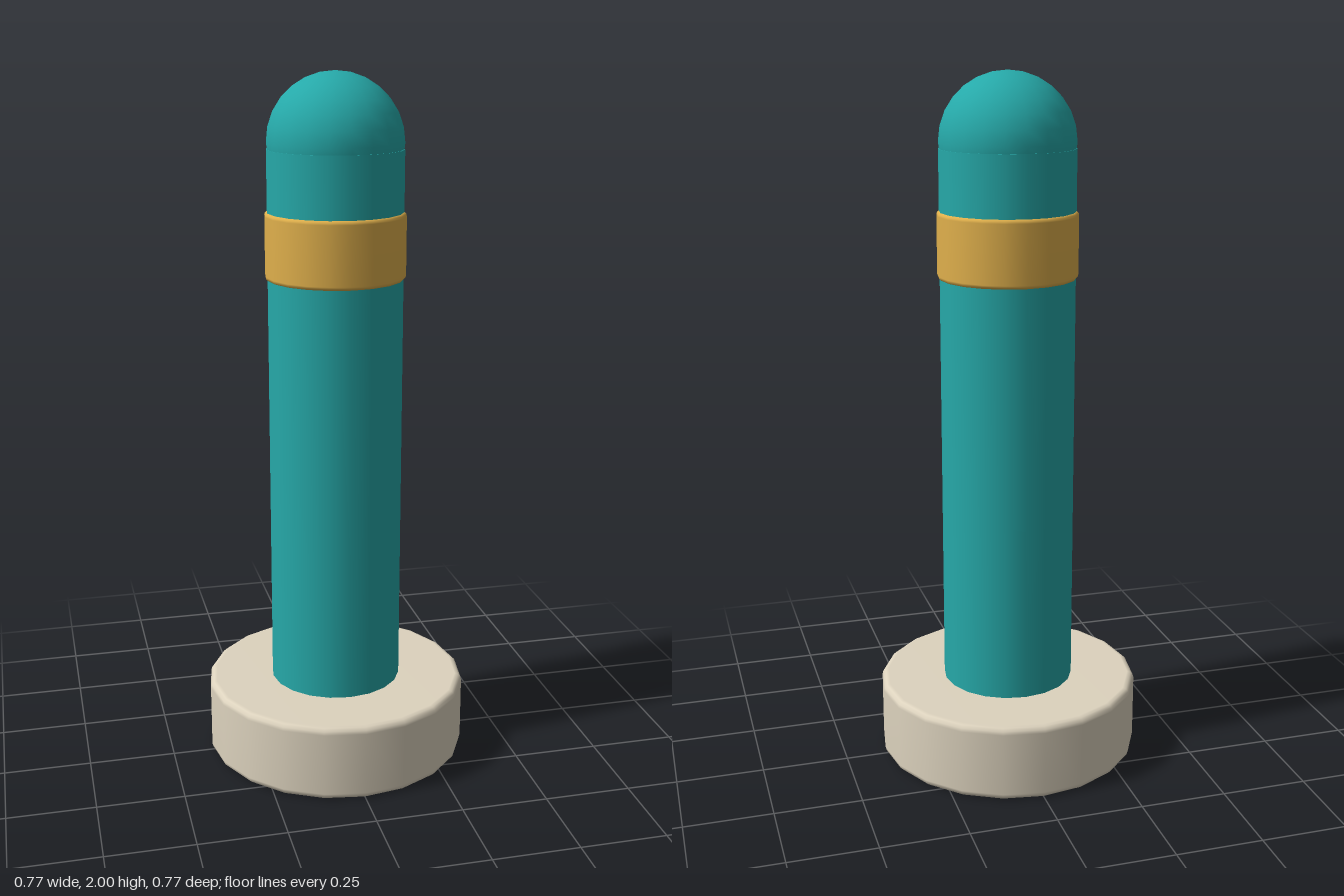
import * as THREE from 'three';

const SIDES = 20;

// Closed disc of radius r from y0 to y1 with rounded rims
function roundedDisc(r, y0, y1, bevel, steps = 3) {
  const points = [new THREE.Vector2(0, y0)];
  for (const [cy, start] of [[y0 + bevel, -Math.PI / 2], [y1 - bevel, 0]]) {
    for (let i = 0; i <= steps; i++) {
      const a = start + (i / steps) * Math.PI / 2;
      points.push(new THREE.Vector2(r - bevel + Math.cos(a) * bevel, cy + Math.sin(a) * bevel));
    }
  }
  points.push(new THREE.Vector2(0, y1));
  return new THREE.LatheGeometry(points, SIDES);
}

function material(name, color) {
  const m = new THREE.MeshStandardMaterial({ color });
  m.name = name;
  return m;
}

export function createModel() {
  const model = new THREE.Group();
  model.name = 'bollard';
  const teal = material('teal', 0x26a9a9);
  const gold = material('gold', 0xe0b04c);
  const stone = material('stone', 0xddd3be);

  const add = (name, geometry, mat, y = 0) => {
    const mesh = new THREE.Mesh(geometry, mat);
    mesh.name = name;
    mesh.position.y = y;
    model.add(mesh);
  };

  // Heavy round foot
  add('base', roundedDisc(0.383, 0, 0.225, 0.02), stone);

  // Straight post, sunk into the foot
  add('post', new THREE.CylinderGeometry(0.192, 0.192, 1.59, SIDES), teal, 0.995);

  // Band around the upper post
  add('band', roundedDisc(0.199, 1.43, 1.62, 0.012), gold);

  // Round cap, partly sunk into the post
  add('dome', new THREE.SphereGeometry(0.192, SIDES, 14), teal, 1.808);

  return model;
}
